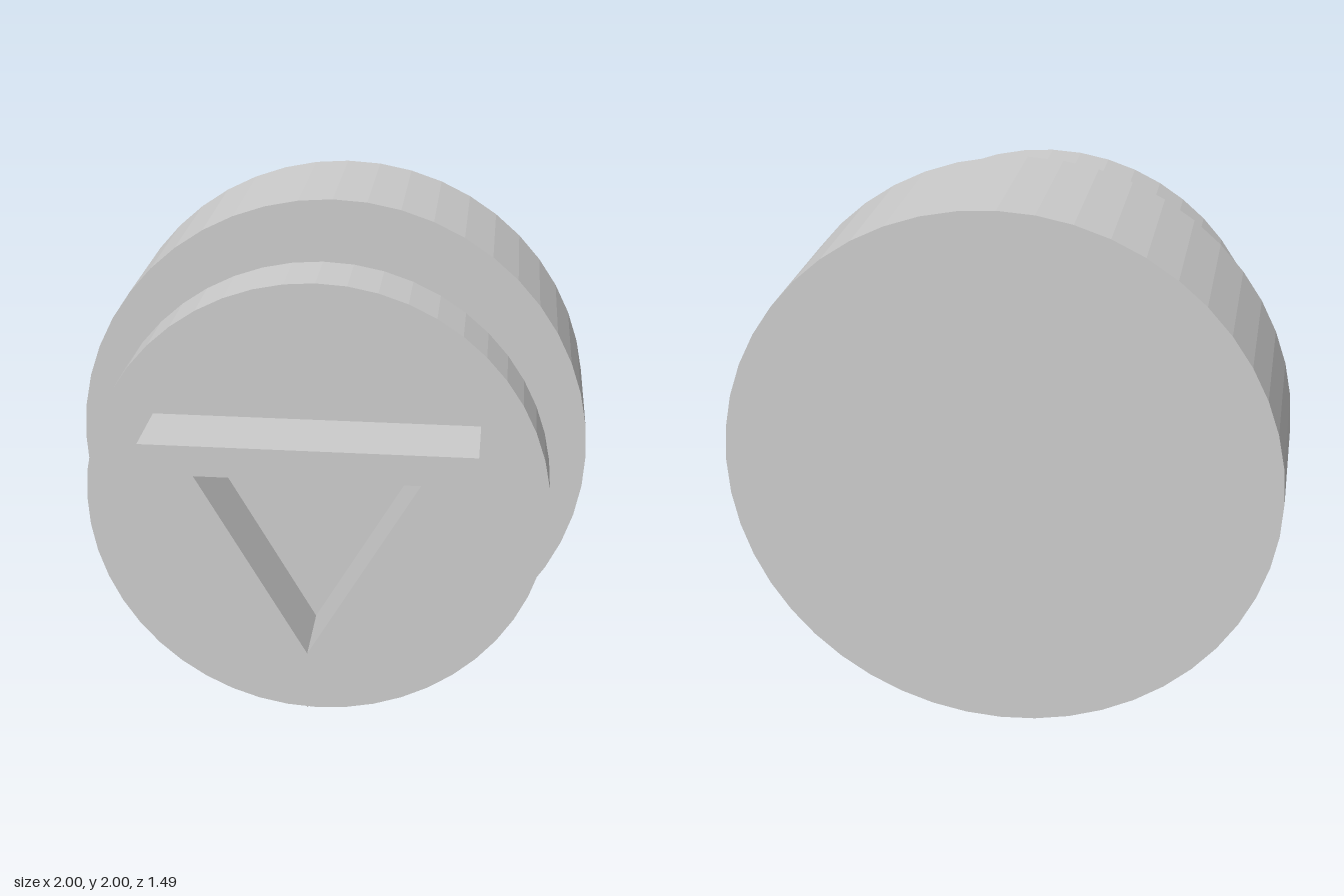
import * as THREE from 'three';

const CENTER_Y = 1;

export function createModel() {
  const group = new THREE.Group();
  const material = new THREE.MeshStandardMaterial({ color: 0xcccccc, flatShading: true });

  const add = (name, geometry, z) => {
    const mesh = new THREE.Mesh(geometry, material);
    mesh.name = name;
    mesh.position.set(0, CENTER_Y, z);
    group.add(mesh);
  };

  // Round sections stacked along z: name, radius, back z, front z
  const sections = [
    ['baseDrum', 1, -0.745, -0.127],
    ['neck', 0.73, -0.127, 0.197],
    ['frontDisc', 0.855, 0.197, 0.458],
  ];
  for (const [name, radius, back, front] of sections) {
    const geometry = new THREE.CylinderGeometry(radius, radius, front - back, 48).rotateX(Math.PI / 2);
    add(name, geometry, (back + front) / 2);
  }

  // Raised triangular frame pointing down, open through to the disc face
  const triangle = (halfWidth, top, bottom) => [
    new THREE.Vector2(-halfWidth, top),
    new THREE.Vector2(0, bottom),
    new THREE.Vector2(halfWidth, top),
  ];
  const frame = new THREE.Shape(triangle(0.593, 0.344, -0.68));
  frame.holes.push(new THREE.Path(triangle(0.398, 0.231, -0.453).reverse()));
  add('triangleFrame', new THREE.ExtrudeGeometry(frame, { depth: 0.287, bevelEnabled: false }), 0.458);

  return group;
}
